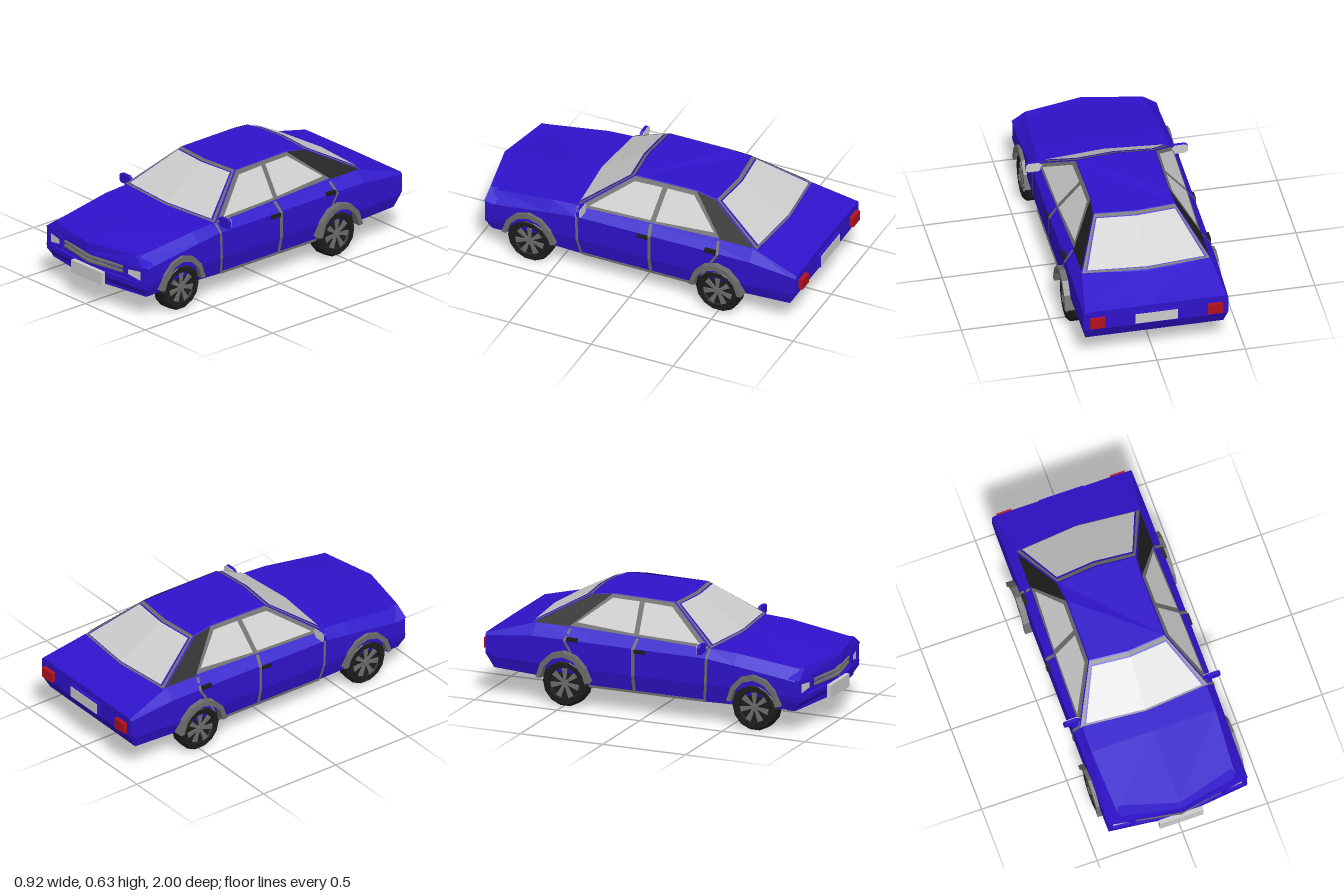
import * as THREE from 'three';

const mat = (color) => new THREE.MeshStandardMaterial({ color, flatShading: true, side: THREE.DoubleSide });
const paint = mat(0x2f12cc), trim = mat(0x6c6c6c), glass = mat(0xcccccc);
const black = mat(0x1c1c1c), red = mat(0xb01020);
const lerp = THREE.MathUtils.lerp;

// Geometry from a list of corner points, three per triangle
function fromCorners(pts) {
  const g = new THREE.BufferGeometry();
  g.setAttribute('position', new THREE.Float32BufferAttribute(pts.flat(), 3));
  g.computeVertexNormals();
  return g;
}

// Flat panel, fanned from its first corner
function panel(p) {
  const out = [];
  for (let i = 1; i < p.length - 1; i++) out.push(p[0], p[i], p[i + 1]);
  return fromCorners(out);
}

// Closed skin over a row of rings, capped at both ends
function loft(rings) {
  const out = [], n = rings[0].length;
  for (let r = 0; r < rings.length - 1; r++) {
    const a = rings[r], b = rings[r + 1];
    for (let i = 0; i < n; i++) {
      const j = (i + 1) % n;
      out.push(a[i], b[i], a[j], a[j], b[i], b[j]);
    }
  }
  const first = rings[0], last = rings[rings.length - 1];
  for (let i = 1; i < n - 1; i++) {
    out.push(first[0], first[i], first[i + 1], last[0], last[i + 1], last[i]);
  }
  return fromCorners(out);
}

// Copy on the other side of x = 0, with the corner order restored
function mirrored(geo) {
  const p = (geo.index ? geo.toNonIndexed() : geo).attributes.position, out = [];
  for (let i = 0; i < p.count; i += 3) {
    for (const k of [i, i + 2, i + 1]) out.push([-p.getX(k), p.getY(k), p.getZ(k)]);
  }
  return fromCorners(out);
}

// Crossbar with a pointed front: rows of [y, half width, corner z, centre z], top first
const pointedBar = (rows, back) => loft(rows.map(([y, w, zc, zm]) => [
  [w, y, zc], [w, y, back], [0, y, back], [-w, y, back], [-w, y, zc], [0, y, zm]]));

const box = (w, h, d, x, y, z) => new THREE.BoxGeometry(w, h, d).translate(x, y, z);

function polygon(pts) {
  return new THREE.Shape(pts.map(([x, y]) => new THREE.Vector2(x, y)));
}

// Outline drawn as (-z, y), extruded along +x
function sideExtrude(pts, depth) {
  return new THREE.ExtrudeGeometry(polygon(pts), { depth, bevelEnabled: false }).rotateY(Math.PI / 2);
}

// Distance of the body side and of the sloped cabin side from the centre line
const bodyX = (y) => (y > 0.38 ? 0.41 - (y - 0.38) * 0.82 : y > 0.23 ? 0.41 : 0.385 + (y - 0.125) * 0.238);
const cabinX = (y) => 0.365 - 0.145 * (y - 0.44) / 0.185;

export function createModel() {
  const car = new THREE.Group();
  car.name = 'saloonCar';
  const add = (name, geo, material) => {
    const m = new THREE.Mesh(geo, material);
    m.name = name;
    car.add(m);
  };
  const pair = (name, geo, material) => {
    add(name + 'Left', geo, material);
    add(name + 'Right', mirrored(geo), material);
  };

  // Body shell: z, nose bow, centre y, edge x, edge y, shoulder y, crease y, floor x, floor y
  const sections = [
    [0.90, 0.06, 0.375, 0.345, 0.37, 0.31, 0.22, 0.385, 0.14],
    [0.53, 0, 0.425, 0.365, 0.42, 0.36, 0.23, 0.385, 0.13],
    [0.37, 0, 0.435, 0.365, 0.43, 0.38, 0.23, 0.385, 0.125],
    [-0.36, 0, 0.44, 0.365, 0.435, 0.385, 0.23, 0.385, 0.125],
    [-0.69, 0, 0.455, 0.36, 0.45, 0.385, 0.23, 0.385, 0.155],
    [-0.93, 0, 0.385, 0.395, 0.382, 0.36, 0.24, 0.39, 0.17],
    [-0.975, 0, 0.372, 0.40, 0.37, 0.355, 0.26, 0.405, 0.25],
  ];
  add('body', loft(sections.map(([z, bow, yc, xe, ye, ys, ym, xb, yb]) => {
    const half = [[xe, ye], [0.41, ys], [0.41, ym], [xb, yb]];
    return [[0, yc, z + bow], ...half.map(([x, y]) => [-x, y, z]),
      [0, yb, z + bow], ...half.reverse().map(([x, y]) => [x, y, z])];
  })), paint);

  // Nose lip, bumper and grille bars
  add('noseLip', pointedBar([[0.375, 0.335, 0.925, 0.995], [0.32, 0.41, 0.93, 1.0]], 0.86), paint);
  add('frontBumper', pointedBar([[0.22, 0.41, 0.925, 0.975], [0.19, 0.405, 0.925, 0.97], [0.135, 0.385, 0.89, 0.94]], 0.84), paint);
  for (const y of [0.26, 0.285]) {
    add('grilleBar', pointedBar([[y, 0.25, 0.938, 0.985], [y - 0.011, 0.25, 0.938, 0.985]], 0.9), trim);
  }
  add('frontPlate', box(0.255, 0.075, 0.025, 0, 0.188, 0.98), glass);

  // Headlights follow the slant of the nose
  const slant = (geo) => {
    const p = geo.attributes.position;
    for (let i = 0; i < p.count; i++) p.setZ(i, p.getZ(i) + 0.90 + 0.06 * (1 - p.getX(i) / 0.41));
    return geo;
  };
  const lens = [[0.28, 0.25], [0.382, 0.232], [0.382, 0.295], [0.28, 0.285]];
  const surround = polygon([[0.255, 0.235], [0.407, 0.22], [0.407, 0.32], [0.255, 0.302]]);
  surround.holes.push(polygon(lens));
  pair('headlightSurround', slant(new THREE.ExtrudeGeometry(surround, { depth: 0.025, bevelEnabled: false })), paint);
  pair('headlight', slant(new THREE.ExtrudeGeometry(polygon(lens), { depth: 0.012, bevelEnabled: false })), glass);

  // Tail lights and rear plate
  pair('tailLight', box(0.085, 0.06, 0.03, 0.333, 0.3, -0.984), red);
  add('rearPlateHolder', box(0.255, 0.075, 0.02, 0, 0.3, -0.982), paint);
  add('rearPlate', box(0.24, 0.062, 0.006, 0, 0.3, -0.993), glass);

  // Front and rear screens: a point at u across (-1..1) and v up (0..1), pushed out by off
  const screen = (dir, y0, y1, z0, z1) => (u, v, off) => {
    const w = lerp(cabinX(y0), cabinX(y1), v);
    const y = lerp(y0, y1, v);
    return [u * w, y + off, lerp(z0, z1, v) + dir * (0.09 * w * (1 - Math.abs(u)) + off)];
  };
  const front = screen(1, 0.425, 0.625, 0.378, 0.088);
  const rear = screen(-1, 0.44, 0.615, -0.715, -0.40);
  const screenPanel = (at, u, v0, v1, off) => panel([at(0, v0, off), at(u, v0, off), at(u, v1, off),
    at(0, v1, off), at(-u, v1, off), at(-u, v0, off)]);

  // Cabin shell
  const flip = ([x, y, z]) => [-x, y, z];
  const side = (z, y, off = 0) => [cabinX(y) + off, y, z];
  const ring = (a, b, c, rearMid, frontMid) => [a, b, c, rearMid, flip(c), flip(b), flip(a), frontMid];
  add('cabin', loft([
    ring(front(1, 1, 0), side(-0.28, 0.63), rear(1, 1, 0), rear(0, 1, 0), front(0, 1, 0)),
    ring(front(1, 0, 0), side(-0.49, 0.43), rear(1, 0, 0), rear(0, 0, 0), front(0, 0, 0)),
  ]), paint);

  for (const [name, at] of [['windscreen', front], ['rearWindow', rear]]) {
    add(name + 'Frame', screenPanel(at, 0.995, 0.02, 0.985, 0.003), trim);
    add(name + 'Seal', screenPanel(at, 0.95, 0.05, 0.93, 0.006), paint);
    add(name, screenPanel(at, 0.925, 0.06, 0.91, 0.009), glass);
  }

  // Side windows, given as z and y, and the dark rear pillars
  const sidePanel = (pts, off) => panel(pts.map(([z, y]) => side(z, y, off)));
  pair('sideFrame', sidePanel([[0.365, 0.43], [-0.49, 0.455], [-0.285, 0.627], [0.09, 0.622]], 0.005), trim);
  pair('frontSideWindow', sidePanel([[0.305, 0.447], [-0.065, 0.455], [-0.083, 0.607], [0.085, 0.602]], 0.009), glass);
  pair('rearSideWindow', sidePanel([[-0.095, 0.456], [-0.445, 0.475], [-0.275, 0.61], [-0.113, 0.608]], 0.009), glass);
  pair('rearPillar', sidePanel([[-0.285, 0.627], [-0.49, 0.45], [-0.695, 0.452], [-0.40, 0.613]], 0.006), black);

  // Door seams and sill strip on the body side
  const seam = (pts, w = 0.008) => {
    for (let i = 0; i < pts.length - 1; i++) {
      const [[z0, y0], [z1, y1]] = [pts[i], pts[i + 1]];
      const at = (z, y) => [bodyX(y) + 0.005, y, z];
      pair('doorSeam', panel([at(z0 + w, y0), at(z0 - w, y0), at(z1 - w, y1), at(z1 + w, y1)]), trim);
    }
  };
  seam([[0.37, 0.43], [0.365, 0.38], [0.36, 0.23], [0.345, 0.13]]);
  seam([[-0.07, 0.435], [-0.08, 0.38], [-0.08, 0.23], [-0.08, 0.13]], 0.01);
  seam([[-0.48, 0.44], [-0.495, 0.38], [-0.42, 0.26], [-0.41, 0.23], [-0.35, 0.13]]);
  pair('sillStrip', box(0.012, 0.012, 0.7, 0.386, 0.13, -0.005), trim);
  pair('frontDoorHandle', box(0.025, 0.02, 0.065, 0.408, 0.37, -0.04), black);
  pair('rearDoorHandle', box(0.025, 0.02, 0.065, 0.405, 0.39, -0.45), black);

  // Door mirrors
  const mirrorShape = polygon([[0.36, 0.43], [0.385, 0.408], [0.445, 0.408], [0.459, 0.42],
    [0.459, 0.45], [0.445, 0.463], [0.385, 0.463], [0.36, 0.443]]);
  const mirrorGeo = (depth, z) => new THREE.ExtrudeGeometry(mirrorShape, { depth, bevelEnabled: false }).translate(0, 0, z);
  pair('mirrorShell', mirrorGeo(0.018, 0.327), paint);
  pair('mirrorGlass', mirrorGeo(0.003, 0.323), glass);

  // Wheels and arch flares
  const tyre = [[0, -0.098], [0.115, -0.098], [0.135, -0.083], [0.135, -0.015], [0.122, 0],
    [0.092, 0], [0.087, -0.014], [0, -0.014]].map(([r, y]) => new THREE.Vector2(r, y));
  for (const [name, z, flareX] of [['front', 0.653, 0.43], ['rear', -0.495, 0.445]]) {
    const place = (geo, x) => geo.translate(x, 0.135, z);
    pair(name + 'Tyre', place(new THREE.LatheGeometry(tyre, 14).rotateZ(-Math.PI / 2), 0.415), black);
    pair(name + 'Hub', place(new THREE.CylinderGeometry(0.02, 0.02, 0.014, 8).rotateZ(-Math.PI / 2), 0.408), trim);
    for (let i = 0; i < 7; i++) {
      const spoke = sideExtrude([[-0.006, 0.015], [0.006, 0.015], [0.016, 0.085], [-0.016, 0.085]], 0.01);
      pair(name + 'Spoke', place(spoke.rotateX(i * Math.PI * 2 / 7), 0.4), trim);
    }
    const arc = (r) => Array.from({ length: 7 }, (_, i) => {
      const a = lerp(0.14, Math.PI - 0.14, i / 6);
      return [r * 0.86 * Math.cos(a), r * Math.sin(a)];
    });
    const flare = sideExtrude([...arc(0.19), ...arc(0.158).reverse()], flareX - 0.37);
    pair(name + 'Flare', place(flare, 0.37), trim);
  }
  return car;
}
